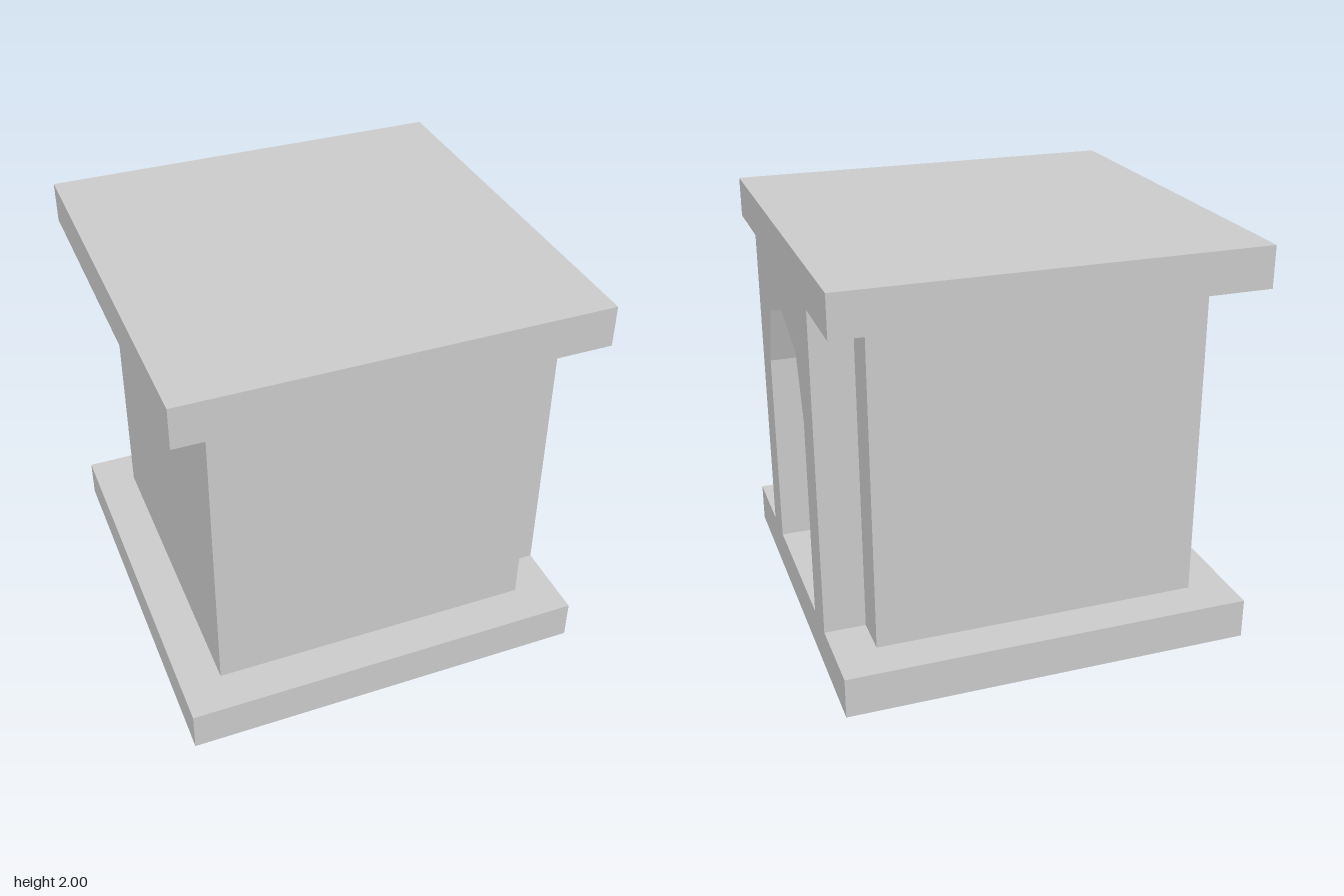
import * as THREE from 'three';

export function createModel() {
  const model = new THREE.Group();
  model.name = 'nichedPedestal';
  const stone = new THREE.MeshStandardMaterial({ color: 0xcccccc });
  stone.name = 'pale grey stone';

  function add(name, geometry, x, y, z) {
    const mesh = new THREE.Mesh(geometry, stone);
    mesh.name = name;
    mesh.position.set(x, y, z);
    model.add(mesh);
    return mesh;
  }

  // Square slabs above and below the body
  add('baseSlab', new THREE.BoxGeometry(2, 0.2, 2), 0, 0.1, 0);
  add('topSlab', new THREE.BoxGeometry(2, 0.2, 2), 0, 1.9, 0);

  // Solid body between the slabs
  add('body', new THREE.BoxGeometry(1.6, 1.6, 1.6), 0, 1, 0);

  // Raised surround with a pointed niche, open down to the base slab
  const outline = [
    [-0.6, 0.2], [-0.4, 0.2], [-0.4, 1.2], [-0.3, 1.5], [0, 1.6],
    [0.3, 1.5], [0.4, 1.2], [0.4, 0.2], [0.6, 0.2], [0.6, 1.8], [-0.6, 1.8],
  ];
  const shape = new THREE.Shape(outline.map(([x, y]) => new THREE.Vector2(x, y)));
  const surround = new THREE.ExtrudeGeometry(shape, { depth: 0.2, bevelEnabled: false });
  surround.rotateY(Math.PI / 2);
  add('nicheSurround', surround, 0.8, 0, 0);

  return model;
}
